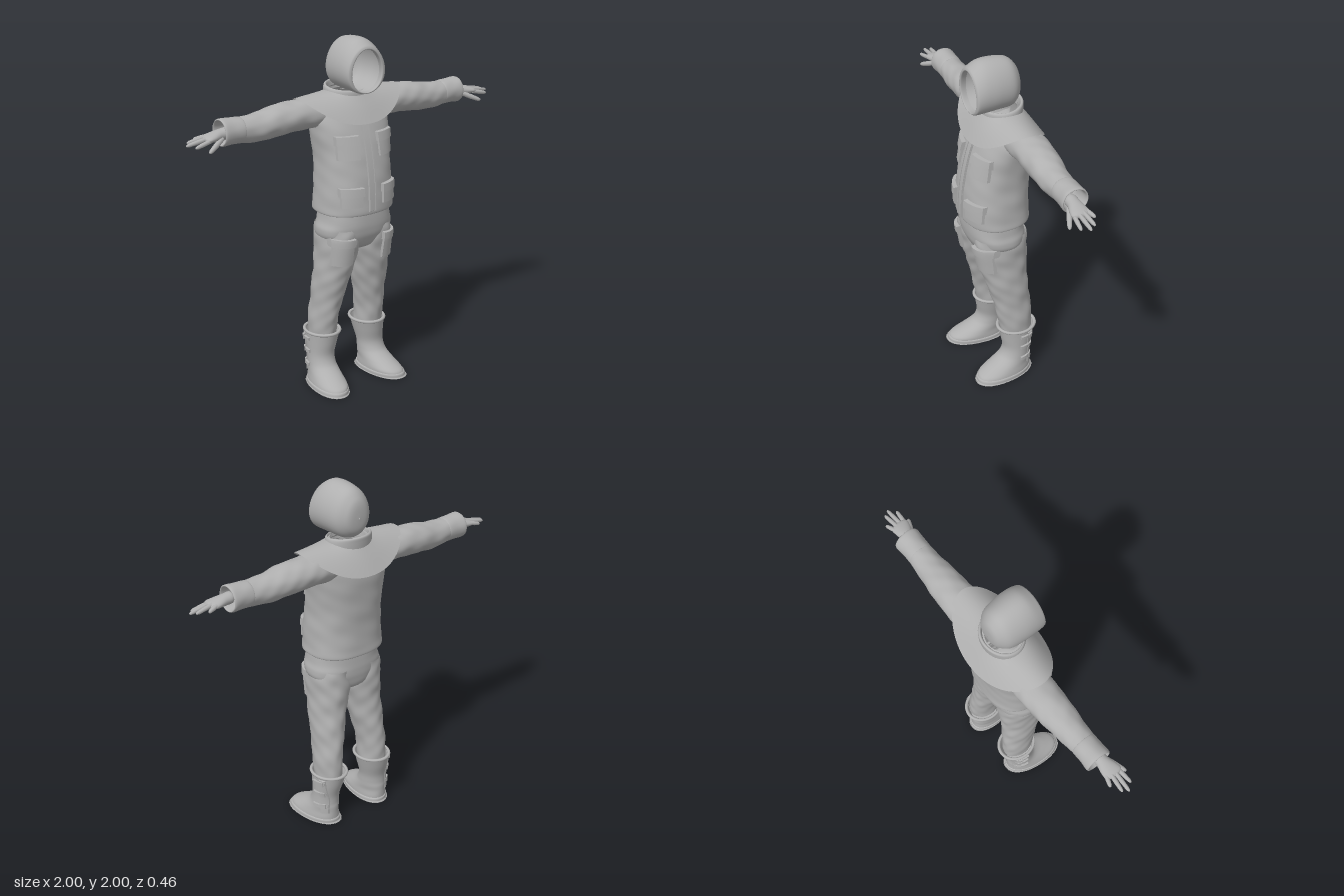
import * as THREE from 'three';

const material = new THREE.MeshStandardMaterial({ color: 0xb0b0b0, side: THREE.DoubleSide });
material.name = 'plain grey';

const spline = (a, b, c, d, u) =>
  0.5 * (2 * b + (c - a) * u + (2 * a - 5 * b + 4 * c - d) * u * u + (3 * b - a - 3 * c + d) * u ** 3);

// Cross-section between key i and i + 1; a key is [t, centreA, centreB, radiusA, radiusB, roundness]
function blend(keys, i, u) {
  const k = (n) => keys[Math.min(Math.max(n, 0), keys.length - 1)];
  return [0, 1, 2, 3, 4, 5].map((c) =>
    spline(k(i - 1)[c] ?? 2, k(i)[c] ?? 2, k(i + 1)[c] ?? 2, k(i + 2)[c] ?? 2, u));
}

// Horizontal section given by its front and back z
const oval = (y, cx, rx, zf, zb, n = 2) => [y, cx, (zf + zb) / 2, rx, (zf - zb) / 2, n];

const place = {
  x: (t, a, b) => [t, b, a],
  y: (t, a, b) => [a, t, b],
  z: (t, a, b) => [b, a, t],
};

// Smooth skin over cross-sections along an axis, with optional cloth wrinkles
function loft(keys, axis, { wrinkle = 0, sub = 6, seg = 48, rule } = {}) {
  const pos = [], index = [];
  const rows = (keys.length - 1) * sub;
  for (let r = 0; r <= rows; r++) {
    const i = Math.min(Math.floor(r / sub), keys.length - 2);
    const [t, a, b, ra, rb, n] = blend(keys, i, r / sub - i);
    for (let j = 0; j < seg; j++) {
      const q = (j / seg) * Math.PI * 2, c = Math.cos(q), s = Math.sin(q);
      const fold = 1 + wrinkle * (Math.sin(3 * q + 38 * t) + Math.sin(5 * q - 61 * t + 1) * 0.7 + Math.sin(9 * q + 17 * t) * 0.4);
      const p = place[axis](t,
        a + ra * fold * Math.sign(c) * Math.abs(c) ** (2 / n),
        b + rb * fold * Math.sign(s) * Math.abs(s) ** (2 / n));
      pos.push(...(rule ? rule(...p) : p));
      if (r < rows) {
        const j2 = (j + 1) % seg, o = r * seg, o2 = o + seg;
        index.push(o + j, o2 + j, o2 + j2, o + j, o2 + j2, o + j2);
      }
    }
  }
  const g = new THREE.BufferGeometry();
  g.setAttribute('position', new THREE.Float32BufferAttribute(pos, 3));
  g.setIndex(index);
  g.computeVertexNormals();
  return g;
}

// Front z at (x, y), or outer x at (z, y), of an upright loft
function surface(keys, y, v, outer) {
  let i = 0;
  while (i < keys.length - 2 && keys[i + 1][0] <= y) i++;
  const u = THREE.MathUtils.clamp((y - keys[i][0]) / (keys[i + 1][0] - keys[i][0] || 1), 0, 1);
  const [, a, b, ra, rb, n] = blend(keys, i, u);
  const h = (d, r) => Math.max(0, 1 - Math.abs(d / r) ** n) ** (1 / n);
  return outer ? a + ra * h(v - b, rb) : b + rb * h(v - a, ra);
}

// Patch of cloth that follows the surface under it
function patch(keys, v0, v1, y0, y1, depth, outer = false) {
  const g = new THREE.BoxGeometry(v1 - v0, y1 - y0, 1, 10, 8, 1);
  const p = g.attributes.position, mv = (v0 + v1) / 2, my = (y0 + y1) / 2;
  for (let i = 0; i < p.count; i++) {
    const top = p.getZ(i) > 0, k = top ? 0.96 : 1;
    const v = mv + p.getX(i) * k, y = my + p.getY(i) * k;
    const d = surface(keys, y, v, outer) + (top ? depth : -0.008);
    if (outer) p.setXYZ(i, d, y, v); else p.setXYZ(i, v, y, d);
  }
  g.computeVertexNormals();
  return g;
}

function add(group, name, geometry) {
  const m = new THREE.Mesh(geometry, material);
  m.name = name;
  group.add(m);
  return m;
}

// Tapered finger with a round tip
function finger(from, to, r) {
  const a = new THREE.Vector3(...from), d = new THREE.Vector3(...to).sub(a), l = d.length();
  const profile = [[r, 0], [r * 1.05, l * 0.45], [r * 0.85, l * 0.85], [r * 0.5, l * 0.97], [0, l]];
  const g = new THREE.LatheGeometry(profile.map((p) => new THREE.Vector2(...p)), 10);
  g.applyQuaternion(new THREE.Quaternion().setFromUnitVectors(new THREE.Vector3(0, 1, 0), d.normalize()));
  return g.translate(...from);
}

const torso = [
  oval(1.055, 0, 0.2, 0.2, -0.135, 2.4), oval(1.05, 0, 0.224, 0.215, -0.155, 2.4),
  oval(1.1, 0, 0.222, 0.217, -0.153, 2.4), oval(1.2, 0, 0.217, 0.212, -0.15, 2.4),
  oval(1.3, 0, 0.211, 0.2, -0.155, 2.4), oval(1.4, 0, 0.215, 0.18, -0.16, 2.4),
  oval(1.5, 0, 0.228, 0.153, -0.165, 2.4), oval(1.58, 0, 0.232, 0.122, -0.16, 2.3),
  oval(1.65, 0, 0.195, 0.09, -0.145, 2.2), oval(1.69, 0, 0.12, 0.065, -0.12),
];
const hips = [
  oval(0.805, 0, 0.03, 0.06, -0.04), oval(0.84, 0, 0.15, 0.145, -0.105), oval(0.9, 0, 0.212, 0.18, -0.122, 2.3),
  oval(0.95, 0, 0.222, 0.192, -0.125, 2.4), oval(1.0, 0, 0.209, 0.196, -0.122, 2.4), oval(1.09, 0, 0.2, 0.19, -0.12, 2.4),
];
const leg = [
  oval(0.3, 0.16, 0.074, 0.05, -0.135), oval(0.4, 0.16, 0.075, 0.07, -0.137), oval(0.5, 0.148, 0.079, 0.09, -0.13),
  oval(0.6, 0.137, 0.091, 0.115, -0.122), oval(0.7, 0.125, 0.096, 0.145, -0.117), oval(0.8, 0.111, 0.105, 0.165, -0.12, 2.2),
  oval(0.9, 0.108, 0.107, 0.18, -0.122, 2.2), oval(0.96, 0.105, 0.1, 0.18, -0.12, 2.2),
];
const boot = [
  oval(0.022, 0.184, 0.09, 0.216, -0.12, 2.2), oval(0.04, 0.183, 0.088, 0.203, -0.12, 2.2), oval(0.07, 0.181, 0.083, 0.15, -0.12),
  oval(0.1, 0.178, 0.079, 0.092, -0.12), oval(0.13, 0.176, 0.077, 0.058, -0.117), oval(0.18, 0.173, 0.077, 0.042, -0.12),
  oval(0.25, 0.165, 0.087, 0.052, -0.14), oval(0.315, 0.158, 0.097, 0.063, -0.155),
];
// Toes point slightly outwards
const toeOut = (x, y, z) => [x + 0.1 * z * Math.max(0, 1 - y / 0.13), y, z];

function buildSide() {
  const side = new THREE.Group();

  // Arm: sections are [x, z, y, radius z, radius y]
  add(side, 'sleeve', loft([
    [0.12, -0.04, 1.595, 0.1, 0.085], [0.3, -0.048, 1.597, 0.1, 0.082], [0.45, -0.045, 1.588, 0.093, 0.083],
    [0.57, -0.041, 1.573, 0.08, 0.076], [0.7, -0.04, 1.577, 0.066, 0.066],
  ], 'x', { wrinkle: 0.014, sub: 12 }));
  add(side, 'cuff', loft([
    [0.672, -0.04, 1.577, 0.06, 0.06], [0.67, -0.04, 1.577, 0.07, 0.069], [0.73, -0.04, 1.58, 0.071, 0.07],
    [0.782, -0.04, 1.58, 0.074, 0.073], [0.784, -0.04, 1.58, 0.064, 0.063], [0.71, -0.04, 1.58, 0.058, 0.058],
  ], 'x', { wrinkle: 0.008 }));
  const hand = new THREE.Group();
  hand.name = 'hand';
  side.add(hand);
  add(hand, 'palm', loft([
    [0.755, -0.025, 1.578, 0.004, 0.004], [0.76, -0.025, 1.578, 0.032, 0.03], [0.8, -0.025, 1.575, 0.036, 0.03],
    [0.85, -0.022, 1.57, 0.048, 0.024], [0.885, -0.02, 1.567, 0.046, 0.016], [0.9, -0.02, 1.566, 0.004, 0.004],
  ], 'x', { seg: 24 }));
  [[[0.865, -0.056, 1.572], [0.925, -0.076, 1.56]], [[0.875, -0.034, 1.574], [0.98, -0.044, 1.556]],
    [[0.88, -0.01, 1.57], [1.0, -0.014, 1.55]], [[0.875, 0.014, 1.562], [0.968, 0.024, 1.542]],
    [[0.8, 0.002, 1.56], [0.903, 0.052, 1.513]]].forEach(([a, b], i) =>
    add(hand, i < 4 ? 'finger' : 'thumb', finger([a[0], a[2], a[1]], [b[0], b[2], b[1]], i < 4 ? 0.0115 : 0.014)));

  // Leg and boot
  add(side, 'trouserLeg', loft(leg, 'y', { wrinkle: 0.016, sub: 9 }));
  add(side, 'boot', loft(boot, 'y', { rule: toeOut }));
  add(side, 'sole', loft([
    oval(0, 0.184, 0.002, 0.05, 0.046, 2.2), oval(0, 0.184, 0.092, 0.22, -0.124, 2.2), oval(0.003, 0.184, 0.095, 0.223, -0.126, 2.2),
    oval(0.02, 0.184, 0.095, 0.221, -0.126, 2.2), oval(0.026, 0.184, 0.088, 0.212, -0.118, 2.2),
  ], 'y', { rule: toeOut, sub: 3 }));
  const rim = new THREE.TorusGeometry(1, 0.09, 10, 48).rotateX(Math.PI / 2).scale(0.096, 0.1, 0.11);
  add(side, 'bootRim', rim.translate(0.158, 0.314, -0.046));
  add(side, 'bootFlap', patch(boot, -0.112, -0.078, 0.065, 0.3, 0.007, true));
  for (const y of [0.12, 0.2, 0.275]) {
    add(side, 'bootStrap', patch(boot, -0.112, -0.03, y - 0.01, y + 0.01, 0.012, true));
    add(side, 'buckle', patch(boot, -0.105, -0.083, y - 0.015, y + 0.015, 0.017, true));
  }

  // Pockets: [surface, x0, x1, y0, y1, flap height]
  for (const [name, keys, x0, x1, y0, y1, flap] of [
    ['chestPocket', torso, 0.065, 0.178, 1.36, 1.485, 0.045],
    ['waistPocket', torso, 0.067, 0.178, 1.1, 1.205, 0.042],
    ['legPocket', leg, 0.1, 0.203, 0.755, 0.91, 0.04],
  ]) {
    add(side, name, patch(keys, x0, x1, y0, y1, 0.015));
    add(side, name + 'Flap', patch(keys, x0 - 0.006, x1 + 0.006, y1 - flap, y1 + 0.006, 0.024));
  }
  return side;
}

export function createModel() {
  const model = new THREE.Group();
  model.name = 'hoodedSuit';

  // Jacket and trousers
  add(model, 'jacket', loft(torso, 'y', { wrinkle: 0.004, sub: 8, seg: 64 }));
  add(model, 'placket', patch(torso, -0.025, 0.022, 1.06, 1.56, 0.008));
  for (const x of [-0.022, 0.016]) add(model, 'placketSeam', patch(torso, x - 0.004, x + 0.004, 1.06, 1.56, 0.013));
  add(model, 'trouserSeat', loft(hips, 'y', { wrinkle: 0.003, seg: 64 }));

  // Cape: drops at front and back, rests level on the shoulders
  add(model, 'cape', loft([[0, 0, -0.02, 0.1, 0.09], [0.5, 0, -0.02, 0.22, 0.15], [1, 0, -0.022, 0.328, 0.2]], 'y', {
    seg: 72,
    rule: (x, s, z) => {
      const side = Math.abs(Math.cos(Math.atan2((z + 0.021) / (0.09 + 0.11 * s), x / (0.1 + 0.228 * s))));
      return [x, 1.71 - s * (0.163 - 0.145 * side ** 2.3), z];
    },
  }));

  // Collar, higher at the back
  add(model, 'collar', loft([
    oval(1.67, 0, 0.135, 0.09, -0.135), oval(1.71, 0, 0.134, 0.09, -0.138), oval(1.735, 0, 0.128, 0.088, -0.138),
    oval(1.737, 0, 0.116, 0.078, -0.124), oval(1.69, 0, 0.108, 0.07, -0.115),
  ], 'y', { rule: (x, y, z) => [x, y - (z + 0.13) * 0.13, z] }));

  // Hood: hollow egg, open at the face; sections are [z, y, x, radius y, radius x]
  add(model, 'hood', loft([
    [-0.116, 1.835, 0, 0.003, 0.003], [-0.111, 1.838, 0, 0.065, 0.05], [-0.093, 1.842, 0, 0.104, 0.082], [-0.05, 1.848, 0, 0.137, 0.115],
    [0.03, 1.855, 0, 0.145, 0.129], [0.1, 1.852, 0, 0.145, 0.129], [0.15, 1.838, 0, 0.132, 0.122], [0.163, 1.833, 0, 0.124, 0.112],
    [0.162, 1.831, 0, 0.116, 0.096], [0.13, 1.831, 0, 0.117, 0.1],
  ], 'z', { rule: (x, y, z) => [x * (1 - 0.9 * (y - 1.85)), y, z] }));

  // Left side and its mirror image
  const left = buildSide(), right = buildSide();
  left.name = 'leftSide';
  right.name = 'rightSide';
  right.scale.x = -1;
  model.add(left, right);
  return model;
}
